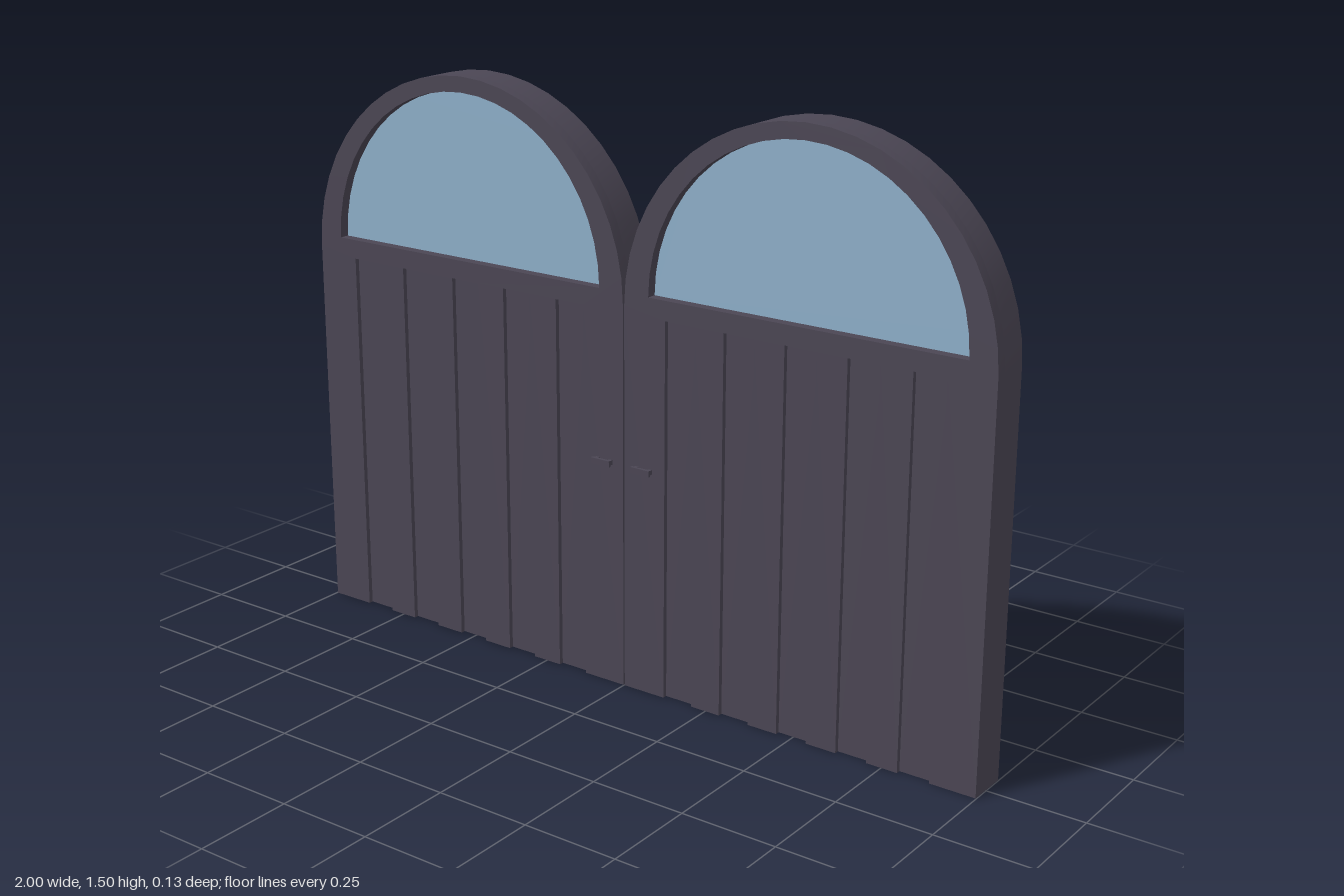
import * as THREE from 'three';
import { toCreasedNormals } from 'three/addons/utils/BufferGeometryUtils.js';

const BACK = -0.063, FRONT = 0.047, GLASS = 0.017, GROOVE = 0.035;
const HALF = 0.498, SPRING = 1, GROOVE_W = 0.085, PITCH = 0.1675, GROOVE_TOP = 0.98;
const grooveCentres = [-2, -1, 0, 1, 2].map(i => i * PITCH);

// Arched door outline; optionally notched along the foot for the grooves
function doorOutline(notched) {
  const s = new THREE.Shape();
  s.moveTo(-HALF, 0);
  if (notched) {
    for (const c of grooveCentres) {
      const a = c - GROOVE_W / 2, b = c + GROOVE_W / 2;
      s.lineTo(a, 0);
      s.lineTo(a, GROOVE_TOP);
      s.lineTo(b, GROOVE_TOP);
      s.lineTo(b, 0);
    }
  }
  s.lineTo(HALF, 0);
  s.lineTo(HALF, SPRING);
  s.absarc(0, SPRING, HALF, 0, Math.PI, false);
  s.lineTo(-HALF, 0);
  return s;
}

// Half-round window
function windowOutline(PathType) {
  const p = new PathType();
  p.moveTo(-0.427, 1.03);
  p.lineTo(0.427, 1.03);
  p.absellipse(0, 1.03, 0.427, 0.428, 0, Math.PI, false);
  return p;
}

function slab(shape, z0, z1) {
  const g = new THREE.ExtrudeGeometry(shape, { depth: z1 - z0, bevelEnabled: false, curveSegments: 12 });
  g.translate(0, 0, z0);
  return toCreasedNormals(g, 0.6);
}

export function createModel() {
  const wood = new THREE.MeshStandardMaterial({ color: 0x4b4654 });
  wood.name = 'dark painted wood';
  const glass = new THREE.MeshStandardMaterial({ color: 0x8eafc9 });
  glass.name = 'pale blue glass';

  const frontShape = doorOutline(true);
  frontShape.holes.push(windowOutline(THREE.Path));
  const backGeo = slab(doorOutline(false), BACK, GLASS);
  const frontGeo = slab(frontShape, GLASS, FRONT);
  const glassGeo = slab(windowOutline(THREE.Shape), GLASS, GLASS + 0.004);
  const grooveGeo = new THREE.BoxGeometry(GROOVE_W, GROOVE_TOP, GROOVE - GLASS);
  const handleGeo = new THREE.BoxGeometry(0.055, 0.016, 0.008);
  const postGeo = new THREE.BoxGeometry(0.01, 0.012, 0.014);

  const gate = new THREE.Group();
  gate.name = 'doubleDoor';
  for (const side of [-1, 1]) {
    const door = new THREE.Group();
    door.name = side > 0 ? 'leftDoor' : 'rightDoor';
    door.position.x = side * 0.5;
    const add = (name, geo, mat, x = 0, y = 0, z = 0) => {
      const m = new THREE.Mesh(geo, mat);
      m.name = name;
      m.position.set(x, y, z);
      door.add(m);
    };
    add('backBoard', backGeo, wood);
    add('frontFrame', frontGeo, wood);
    add('archWindow', glassGeo, glass);
    // Sunken strips between the boards
    for (const c of grooveCentres) add('grooveFloor', grooveGeo, wood, c, GROOVE_TOP / 2, (GLASS + GROOVE) / 2);
    // Small pull handle near the meeting edge
    const hx = -side * 0.44;
    add('handle', handleGeo, wood, hx, 0.592, 0.061);
    for (const d of [-0.02, 0.02]) add('handlePost', postGeo, wood, hx + d, 0.592, 0.052);
    gate.add(door);
  }
  // Recessed joint between the two doors
  const joint = new THREE.Mesh(new THREE.BoxGeometry(0.006, 1, 0.08), wood);
  joint.name = 'centreJoint';
  joint.position.set(0, 0.5, -0.008);
  gate.add(joint);
  return gate;
}
